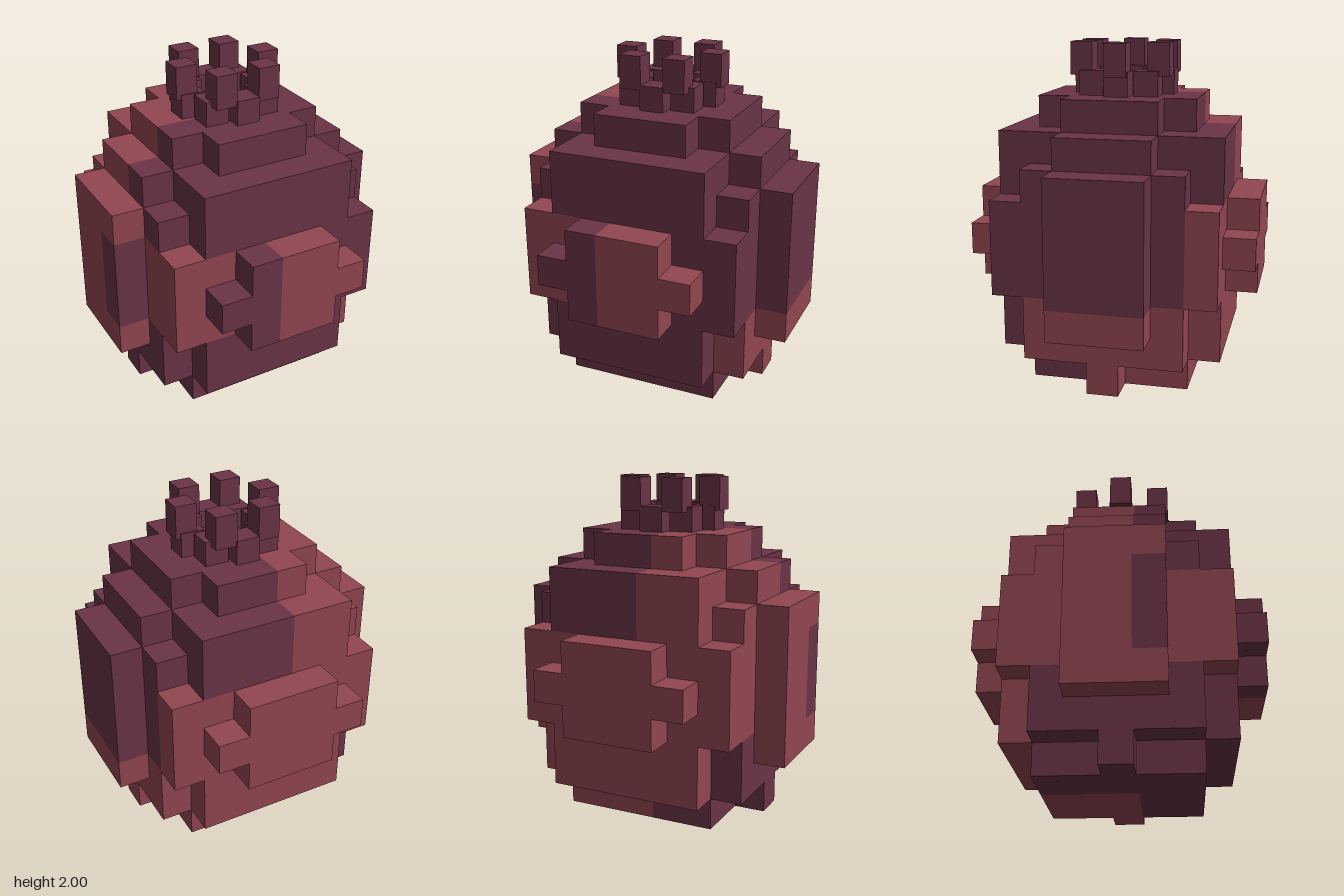
import * as THREE from 'three';
import { mergeGeometries } from 'three/addons/utils/BufferGeometryUtils.js';

const U = 1.69 / 9; // block size

// Block ranges of each part: [x0, x1, y0, y1, z0, z1], x and z centred on 0
const PARTS = {
  body: [
    [-2, 2, 0, 0, -2, 2],
    [-2, 2, 1, 7, -3, 3],
    [-3, 3, 1, 6, -2, 2],
    [-3, 3, 3, 5, -3, 3],
    [-3, 3, 7, 7, -1, 1],
  ],
  topCap: [[-2, 2, 8, 8, -1, 1], [-1, 1, 8, 8, -2, 2]],
  frontBulge: [[-1, 1, 3, 5, 4, 4], [-2, 2, 4, 4, 4, 4]],
  backBulge: [[-1, 1, 3, 5, -4, -4], [-2, 2, 4, 4, -4, -4]],
  leftBulge: [[4, 4, 2, 6, -1, 1]],
  rightBulge: [[-4, -4, 2, 6, -1, 1]],
  leftFoot: [[3, 3, 0, 0, 0, 0]],
  rightFoot: [[-3, -3, 0, 0, 0, 0]],
};

// Skin patches, three blocks wide: [height][depth, back to front][x, right to left]; R = red, D = dark
const PATCHES = [
  ['RRRR', 'RDRR', 'RDDR', 'DDDD'],
  ['RRRR', 'RRDD', 'DRDD', 'DDRR'],
  ['RRDD', 'RRDD', 'RDDD', 'DDDD'],
];
const patchAt = (x, y, z) =>
  PATCHES[Math.floor(y / 3)][Math.floor((z + 5) / 3)][Math.floor((x + 6) / 3)];

// Outward directions and the turn that points a plane along each
const SIDES = [
  [1, 0, 0, 0, Math.PI / 2], [-1, 0, 0, 0, -Math.PI / 2],
  [0, 1, 0, -Math.PI / 2, 0], [0, -1, 0, Math.PI / 2, 0],
  [0, 0, 1, 0, 0], [0, 0, -1, 0, Math.PI],
];

export function createModel() {
  const root = new THREE.Group();
  root.name = 'fruit';
  const dark = new THREE.MeshStandardMaterial({ name: 'dark plum', color: 0x6a3446 });
  const red = new THREE.MeshStandardMaterial({ name: 'dusty red', color: 0x924650 });

  // Fill the block grid
  const blocks = new Map();
  for (const [part, ranges] of Object.entries(PARTS)) {
    for (const [x0, x1, y0, y1, z0, z1] of ranges) {
      for (let x = x0; x <= x1; x++)
        for (let y = y0; y <= y1; y++)
          for (let z = z0; z <= z1; z++) blocks.set(`${x},${y},${z}`, { part, x, y, z });
    }
  }

  // Collect the outer faces by part and colour
  const faces = {};
  for (const { part, x, y, z } of blocks.values()) {
    for (const [dx, dy, dz, rx, ry] of SIDES) {
      if (blocks.has(`${x + dx},${y + dy},${z + dz}`)) continue;
      const face = new THREE.PlaneGeometry(U, U).rotateX(rx).rotateY(ry);
      face.translate((x + dx / 2) * U, (y + 0.5 + dy / 2) * U, (z + dz / 2) * U);
      const bucket = (faces[part] ??= { R: [], D: [] });
      bucket[patchAt(x, y, z)].push(face);
    }
  }
  for (const [part, bucket] of Object.entries(faces)) {
    const group = new THREE.Group();
    group.name = part;
    for (const [key, list] of Object.entries(bucket)) {
      if (!list.length) continue;
      const mesh = new THREE.Mesh(mergeGeometries(list), key === 'R' ? red : dark);
      mesh.name = part + (key === 'R' ? 'Red' : 'Dark');
      group.add(mesh);
    }
    root.add(group);
  }

  // Crown: core, ring of short blocks and six taller prongs
  const crown = new THREE.Group();
  crown.name = 'crown';
  const addBlock = (name, w, y0, y1, x, z) => {
    const mesh = new THREE.Mesh(new THREE.BoxGeometry(w, y1 - y0, w), dark);
    mesh.position.set(x, (y0 + y1) / 2, z);
    mesh.name = name;
    crown.add(mesh);
  };
  addBlock('crownCore', 0.24, 1.69, 1.75, 0, 0);
  for (const s of [-1, 1]) {
    addBlock('crownBase', 0.144, 1.69, 1.835, s * 0.23, 0);
    addBlock('crownBase', 0.144, 1.69, 1.835, 0, s * 0.23);
    addBlock('crownProng', 0.131, 1.805, 2, s * 0.265, 0);
    for (const t of [-1, 1]) {
      addBlock('crownBase', 0.144, 1.69, 1.835, s * 0.161, t * 0.163);
      addBlock('crownProng', 0.131, 1.805, 2, s * 0.134, t * 0.23);
    }
  }
  root.add(crown);
  return root;
}
